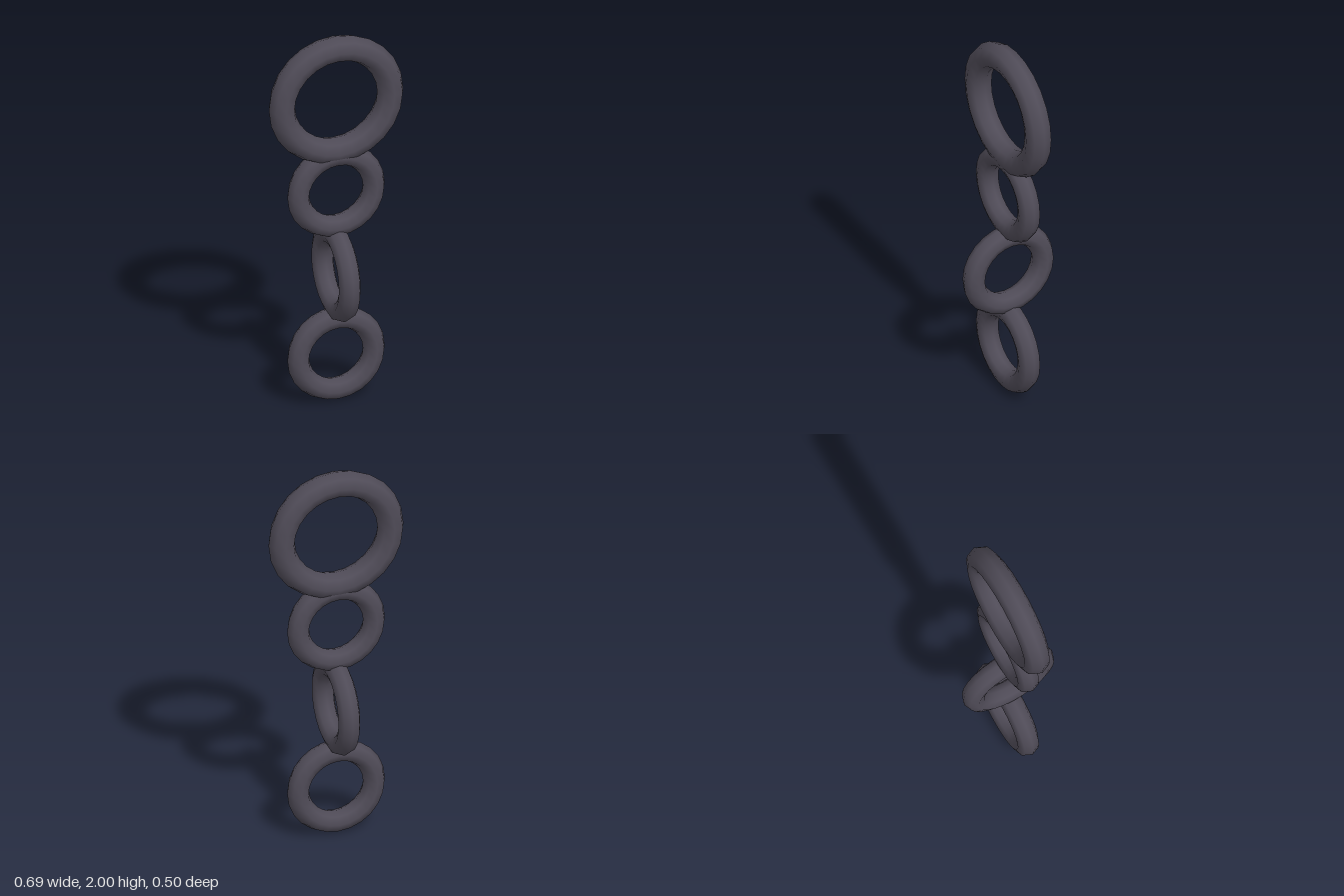
import * as THREE from 'three';

export function createModel() {
  const model = new THREE.Group();
  const iron = new THREE.MeshStandardMaterial({ color: 0x4f4b57 });
  iron.name = 'dark iron';

  const addRing = (name, geometry, y, turn) => {
    const ring = new THREE.Mesh(geometry, iron);
    ring.name = name;
    ring.position.y = y;
    ring.rotation.y = turn;
    model.add(ring);
  };

  // Three small chain links, the middle one turned a quarter
  const link = new THREE.TorusGeometry(0.195, 0.056, 8, 24);
  ['lowerLink', 'middleLink', 'upperLink'].forEach((name, i) =>
    addRing(name, link, 0.251 + i * 0.45, i === 1 ? Math.PI / 2 : 0));

  // Large ring at the top
  addRing('topRing', new THREE.TorusGeometry(0.28, 0.067, 8, 24), 1.653, 0);

  return model;
}
